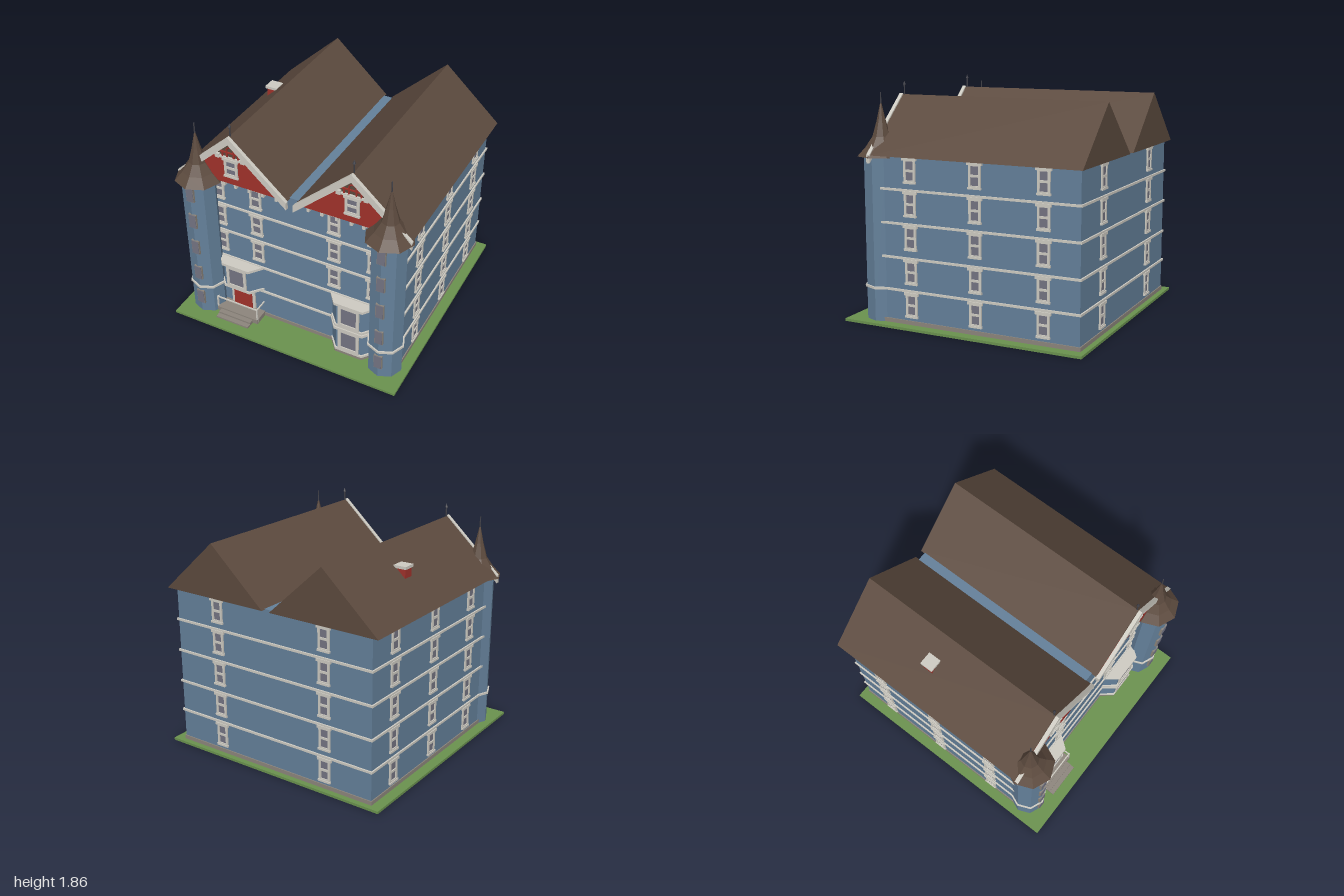
import * as THREE from 'three';

const mat = (name, color) => {
  const m = new THREE.MeshStandardMaterial({ color });
  m.name = name;
  return m;
};

export function createModel() {
  const wall = mat('blue wall', 0x64809a), trim = mat('pale trim', 0xcecbc2);
  const roofing = mat('brown roofing', 0x5c4a3e), red = mat('red paint', 0xa0322b);
  const glass = mat('grey glass', 0x747482), lawn = mat('green lawn', 0x6a924e);
  const stone = mat('grey stone', 0x8c857c), iron = mat('dark iron', 0x404047);
  const model = new THREE.Group();

  // ---- helpers ----
  const add = (parent, name, geo, material, x = 0, y = 0, z = 0) => {
    const m = new THREE.Mesh(geo, material);
    m.name = name;
    m.position.set(x, y, z);
    parent.add(m);
    return m;
  };
  // box given by its minimum and maximum corners
  const box = (parent, name, material, x0, x1, y0, y1, z0, z1) =>
    add(parent, name, new THREE.BoxGeometry(x1 - x0, y1 - y0, z1 - z0), material,
      (x0 + x1) / 2, (y0 + y1) / 2, (z0 + z1) / 2);
  const facet = (geo) => {
    const g = geo.index ? geo.toNonIndexed() : geo;
    g.computeVertexNormals();
    return g;
  };
  const poly = (pts) => new THREE.Shape(pts.map(([x, y]) => new THREE.Vector2(x, y)));
  const extrude = (shape, depth) => new THREE.ExtrudeGeometry(shape, { depth, bevelEnabled: false });
  // plan outline (x, z) raised from y0 to y1
  const slab = (parent, name, material, pts, y0, y1) => {
    const g = extrude(poly(pts.map(([x, z]) => [x, -z])), y1 - y0);
    g.rotateX(-Math.PI / 2);
    return add(parent, name, g, material, 0, y0, 0);
  };
  const rect = (x0, x1, y0, y1) => [[x0, y0], [x1, y0], [x1, y1], [x0, y1]];

  // framed window facing +z; panes are stacked
  const makeWindow = (parent, name, x, y, z, turn, { w = 0.1, h = 0.18, edge = 0.018, panes = 2, cap = true } = {}) => {
    const g = new THREE.Group();
    g.name = name;
    g.position.set(x, y, z);
    g.rotation.y = turn;
    const frame = poly(rect(-w / 2, w / 2, -h / 2, h / 2));
    const ph = (h - edge * (panes + 1)) / panes;
    for (let i = 0; i < panes; i++) {
      const y0 = -h / 2 + edge + i * (ph + edge);
      frame.holes.push(poly(rect(-w / 2 + edge, w / 2 - edge, y0, y0 + ph)));
    }
    add(g, 'windowFrame', extrude(frame, 0.012), trim);
    box(g, 'windowGlass', glass, -w / 2 + 0.005, w / 2 - 0.005, -h / 2 + 0.005, h / 2 - 0.005, -0.003, 0.004);
    if (cap) {
      box(g, 'windowLintel', trim, -w / 2 - 0.012, w / 2 + 0.012, h / 2 - 0.012, h / 2 + 0.01, 0, 0.018);
      box(g, 'windowSill', trim, -w / 2 - 0.005, w / 2 + 0.005, -h / 2 - 0.008, -h / 2 + 0.008, 0, 0.018);
    }
    parent.add(g);
  };

  // ---- lawn, main block, plinth and string courses ----
  box(model, 'lawn', lawn, -1, 1, 0, 0.02, -1, 1);
  box(model, 'mainBlock', wall, -0.91, 0.91, 0.02, 1.325, -0.95, 0.7);
  box(model, 'plinth', stone, -0.918, 0.918, 0.02, 0.052, -0.958, 0.708);
  [0.285, 0.54, 0.805, 1.065].forEach((y) =>
    box(model, 'stringCourse', trim, -0.922, 0.922, y - 0.009, y + 0.009, -0.962, 0.712));

  // ---- windows of the four walls ----
  const rows = [0.175, 0.435, 0.7, 0.96, 1.215];
  rows.forEach((y, row) => {
    for (const s of [-1, 1]) {
      for (const z of [0.435, -0.118, -0.668]) makeWindow(model, 'sideWindow', s * 0.91, y, z, s * Math.PI / 2);
      makeWindow(model, 'backWindow', s * 0.5, y, -0.95, Math.PI);
      if (row > 1) for (const x of [0.336, 0.665]) makeWindow(model, 'frontWindow', s * x, y, 0.7, 0);
    }
  });

  // ---- twin roofs with front gables ----
  for (const s of [-1, 1]) {
    const g = new THREE.Group();
    g.name = 'gabledRoof';
    g.position.x = s * 0.505;
    model.add(g);
    add(g, 'roof', extrude(poly([[-0.472, 1.32], [0.472, 1.32], [0, 1.75]]), 1.725), roofing, 0, 0, -0.985);
    add(g, 'gableFace', extrude(poly([[-0.45, 1.32], [0.45, 1.32], [0.19, 1.56], [-0.19, 1.56]]), 0.006), red, 0, 0, 0.74);
    add(g, 'bargeboard', extrude(poly([[-0.476, 1.26], [0, 1.69], [0.476, 1.26], [0.476, 1.325], [0, 1.757], [-0.476, 1.325]]), 0.03),
      trim, 0, 0, 0.744);
    makeWindow(g, 'gableWindow', 0, 1.47, 0.745, 0, { w: 0.115, h: 0.15, edge: 0.02 });
    // open timber work in the peak
    box(g, 'peakBeam', trim, -0.13, 0.13, 1.55, 1.565, 0.74, 0.757);
    for (const t of [-1, 1]) {
      box(g, 'beamBlock', trim, t * 0.11 - 0.018, t * 0.11 + 0.018, 1.545, 1.58, 0.74, 0.762);
      box(g, 'peakPost', red, t * 0.03 - 0.006, t * 0.03 + 0.006, 1.565, 1.63, 0.74, 0.752);
      box(g, 'peakPost', red, t * 0.068 - 0.006, t * 0.068 + 0.006, 1.565, 1.61, 0.74, 0.752);
    }
    box(g, 'peakRail', red, -0.085, 0.085, 1.598, 1.608, 0.74, 0.75);
    add(g, 'peakArch', new THREE.TorusGeometry(0.03, 0.006, 4, 10, Math.PI), red, 0, 1.62, 0.746);
    // brackets under the gable
    for (const x of [0.135, 0.25, 0.37, 0.49, 0.59])
      box(g, 'bracket', trim, s * (x - 0.505) - 0.011, s * (x - 0.505) + 0.011, 1.28, 1.322, 0.695, 0.738);
    // ridge finial
    add(g, 'finialRod', facet(new THREE.CylinderGeometry(0.006, 0.006, 0.09, 6)), iron, 0, 1.79, 0.728);
    add(g, 'finialTip', facet(new THREE.ConeGeometry(0.013, 0.03, 6)), iron, 0, 1.84, 0.728);
  }

  // ---- corner towers ----
  for (const s of [-1, 1]) {
    const g = new THREE.Group();
    g.name = 'cornerTower';
    g.position.set(s * 0.805, 0, 0.75);
    model.add(g);
    add(g, 'towerWall', facet(new THREE.CylinderGeometry(0.14, 0.14, 1.28, 8)), wall, 0, 0.66, 0);
    add(g, 'towerBand', facet(new THREE.CylinderGeometry(0.153, 0.153, 0.018, 8)), trim, 0, 0.285, 0);
    const profile = [[0, 1.295], [0.19, 1.3], [0.125, 1.37], [0.07, 1.45], [0.035, 1.57], [0.001, 1.72]];
    add(g, 'towerRoof', facet(new THREE.LatheGeometry(profile.map(([x, y]) => new THREE.Vector2(x, y)), 8)), roofing);
    add(g, 'towerFinial', facet(new THREE.CylinderGeometry(0.005, 0.006, 0.11, 6)), iron, 0, 1.73, 0);
    rows.forEach((y) => {
      box(g, 'towerWindowFrame', stone, -0.034, 0.034, y - 0.066, y + 0.066, 0.1, 0.143);
      box(g, 'towerWindow', glass, -0.03, 0.03, y - 0.061, y + 0.061, 0.14, 0.147);
    });
  }

  // ---- bay windows ----
  const bayPlan = (cx, grow) => [[cx - 0.195 - grow, 0.69], [cx - 0.11 - grow * 0.6, 0.79 + grow],
    [cx + 0.11 + grow * 0.6, 0.79 + grow], [cx + 0.195 + grow, 0.69]];
  const bay = (cx, y0, y1) => {
    slab(model, 'bayWall', wall, bayPlan(cx, 0), y0, y1);
    slab(model, 'bayLedge', trim, bayPlan(cx, 0.012), y0, y0 + 0.02);
    slab(model, 'bayCornice', trim, bayPlan(cx, 0.02), y1 - 0.015, y1 + 0.008);
    makeWindow(model, 'bayWindow', cx, (y0 + y1) / 2 + 0.002, 0.79, 0,
      { w: 0.18, h: y1 - y0 - 0.035, edge: 0.024, panes: 1, cap: false });
  };
  bay(-0.505, 0.295, 0.535);
  bay(0.505, 0.295, 0.535);
  bay(0.505, 0.045, 0.285);
  slab(model, 'bayBase', stone, bayPlan(0.505, 0.01), 0.02, 0.047);

  // ---- entrance: door, surround, steps and railing ----
  box(model, 'doorSurround', trim, -0.615, -0.395, 0.06, 0.29, 0.7, 0.714);
  box(model, 'door', red, -0.59, -0.42, 0.06, 0.288, 0.712, 0.72);
  box(model, 'porch', stone, -0.69, -0.31, 0.02, 0.062, 0.69, 0.83);
  box(model, 'upperStep', stone, -0.655, -0.355, 0.02, 0.05, 0.83, 0.87);
  box(model, 'lowerStep', stone, -0.655, -0.355, 0.02, 0.035, 0.87, 0.91);
  for (const x of [-0.69, -0.316]) {
    box(model, 'railingPost', trim, x - 0.006, x + 0.006, 0.03, 0.17, 0.812, 0.824);
    box(model, 'sideRail', trim, x - 0.005, x + 0.005, 0.158, 0.168, 0.7, 0.82);
  }
  box(model, 'frontRail', trim, -0.69, -0.316, 0.158, 0.168, 0.813, 0.823);

  // ---- chimney ----
  box(model, 'chimneyStack', red, -0.75, -0.665, 1.45, 1.598, -0.29, -0.205);
  box(model, 'chimneyCap', trim, -0.76, -0.655, 1.598, 1.62, -0.3, -0.195);

  return model;
}
